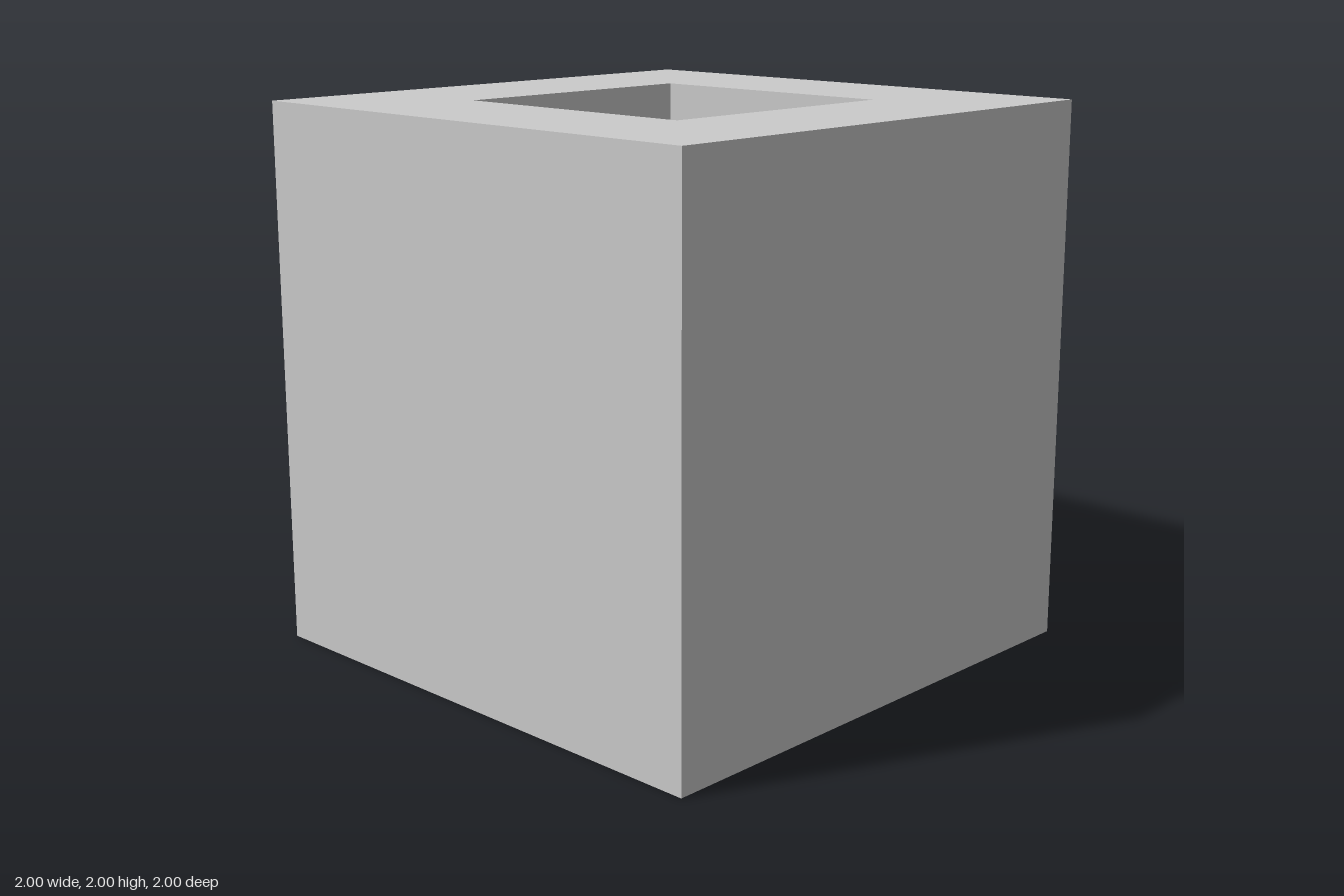
import * as THREE from 'three';

// Half-widths and heights of the block and its square well
const OUTER = 1, INNER = 0.5, HEIGHT = 2, FLOOR = 0.5;

export function createModel() {
  const group = new THREE.Group();
  group.name = 'hollowBlock';

  // Section from the underside centre, up the outside, over the rim and down to the well floor
  const section = [
    [0, 0], [OUTER, 0], [OUTER, HEIGHT],
    [INNER, HEIGHT], [INNER, FLOOR], [0, FLOOR],
  ].map(([halfWidth, y]) => new THREE.Vector2(halfWidth * Math.SQRT2, y));

  // Four-sided lathe turned 45 degrees gives square walls in one closed shell
  const geometry = new THREE.LatheGeometry(section, 4, Math.PI / 4).toNonIndexed();
  geometry.computeVertexNormals();

  const material = new THREE.MeshStandardMaterial({ color: 0xcccccc, flatShading: true });
  const block = new THREE.Mesh(geometry, material);
  block.name = 'blockWithSquareWell';
  group.add(block);
  return group;
}
